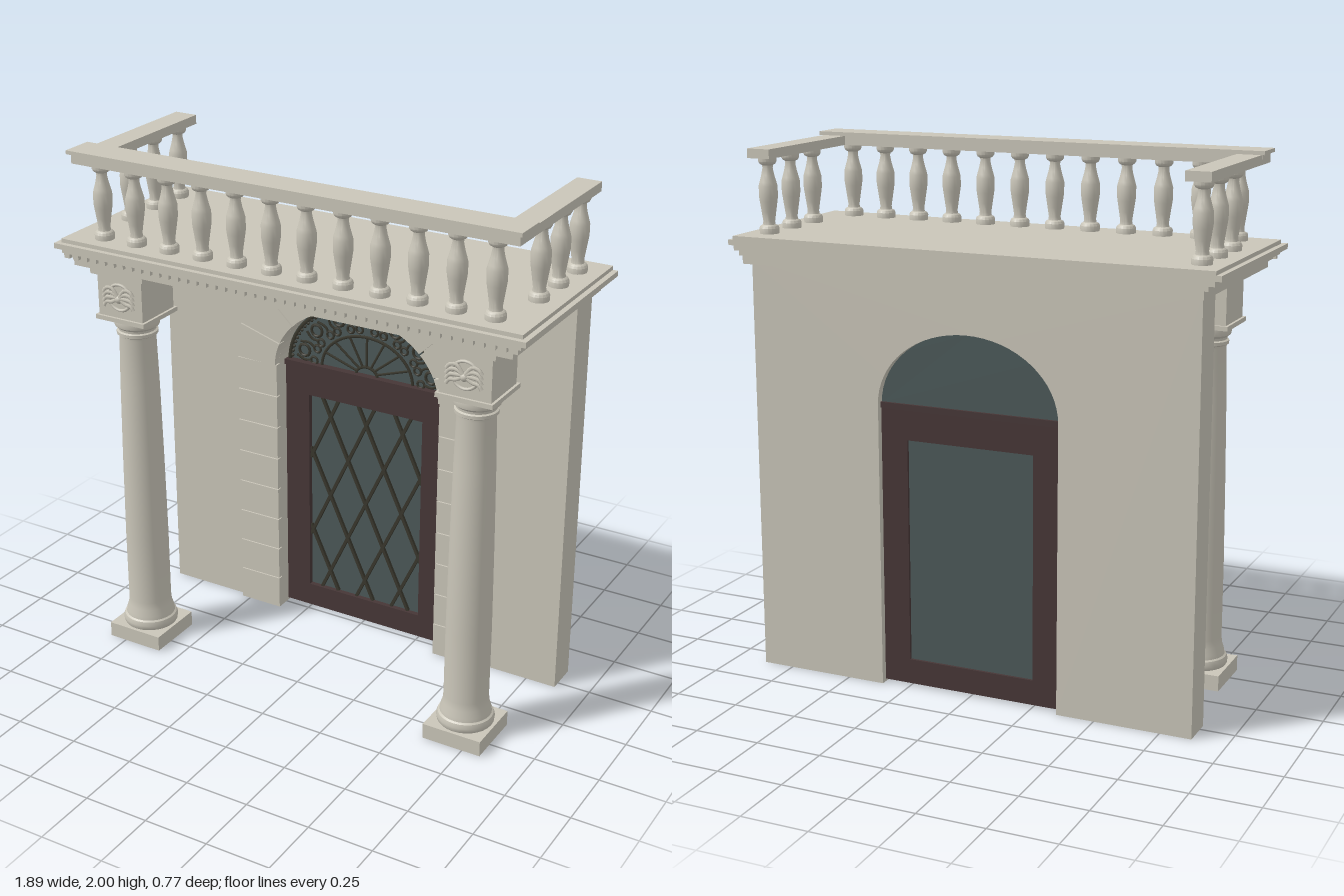
import * as THREE from 'three';
import { toCreasedNormals } from 'three/addons/utils/BufferGeometryUtils.js';

export function createModel() {
  const root = new THREE.Group();
  root.name = 'columnedPorch';
  const mat = (name, color) => {
    const m = new THREE.MeshStandardMaterial({ color });
    m.name = name;
    return m;
  };
  const stone = mat('paleStone', 0xc9c5b8);
  const wood = mat('darkWood', 0x463636);
  const glass = mat('smokyGlass', 0x4b5858);
  const iron = mat('darkIron', 0x39372d);

  const add = (name, geo, m, x = 0, y = 0, z = 0, parent = root) => {
    const mesh = new THREE.Mesh(geo, m);
    mesh.name = name;
    mesh.position.set(x, y, z);
    parent.add(mesh);
    return mesh;
  };
  // Box given by its limits on each axis
  const box = (name, m, x0, x1, y0, y1, z0, z1, parent = root) =>
    add(name, new THREE.BoxGeometry(x1 - x0, y1 - y0, z1 - z0), m,
      (x0 + x1) / 2, (y0 + y1) / 2, (z0 + z1) / 2, parent);
  const lathe = (pts, sides) => toCreasedNormals(
    new THREE.LatheGeometry(pts.map(p => new THREE.Vector2(...p)), sides), 0.6);
  const plate = (name, m, shape, z0, z1) => add(name, new THREE.ExtrudeGeometry(shape,
    { depth: z1 - z0, bevelEnabled: false, curveSegments: 32 }), m, 0, 0, z0);
  const tube = (name, pts, r, m, x, y, z, parent, seg = 16) => add(name, new THREE.TubeGeometry(
    new THREE.CatmullRomCurve3(pts.map(p => new THREE.Vector3(p[0], p[1], 0))), seg, r, 5), m, x, y, z, parent);

  // Elliptical arch over the doorway
  const RX = 0.355, RY = 0.285, SPRING = 1.085;
  const arch = (deg, s = 1) => {
    const t = THREE.MathUtils.degToRad(deg);
    return [RX * s * Math.cos(t), SPRING + RY * s * Math.sin(t)];
  };
  const arc = (s, from = 0, to = 180, n = 32) =>
    Array.from({ length: n + 1 }, (_, i) => arch(from + (to - from) * i / n, s));
  const poly = pts => new THREE.Shape(pts.map(p => new THREE.Vector2(...p)));

  // Wall with the arched doorway cut out
  plate('wall', stone, poly([[-0.87, 0], [-RX, 0], ...arc(1).reverse(), [RX, 0],
    [0.87, 0], [0.87, 1.58], [-0.87, 1.58]]), -0.345, -0.217);

  // Jamb blocks
  const blockH = SPRING / 8;
  for (const s of [-1, 1]) for (let i = 0; i < 8; i++) {
    const a = s * RX, b = s * 0.535;
    box('jambBlock', stone, Math.min(a, b), Math.max(a, b),
      i * blockH + (i ? 0.002 : 0), (i + 1) * blockH - 0.002, -0.22, -0.195);
  }

  // Arch stones, with a projecting keystone
  const angles = [0, 20, 39.5, 59.5, 79.5];
  const outer = [[0.535, 1.09], [0.508, 1.235], [0.39, 1.378], [0.258, 1.462], [0.092, 1.51]];
  for (const s of [-1, 1]) for (let i = 0; i < 4; i++) {
    const a = new THREE.Vector2(...outer[i]), b = new THREE.Vector2(...outer[i + 1]);
    const o1 = a.clone().lerp(b, 0.015), o2 = a.clone().lerp(b, 0.985);
    const pts = [...arc(1, angles[i] + 0.5, angles[i + 1] - 0.5, 5), [o2.x, o2.y], [o1.x, o1.y]];
    plate('archStone', stone, poly(pts.map(p => [s * p[0], p[1]])), -0.22, -0.183);
  }
  plate('keystone', stone, poly([...arc(1, 80, 100, 5), [-0.09, 1.51], [0.09, 1.51]]), -0.22, -0.168);

  // Door frame, glass and fanlight
  const frame = poly([[-RX, 0.01], [RX, 0.01], [RX, 1.068], [-RX, 1.068]]);
  frame.holes.push(new THREE.Path([[-0.25, 0.105], [-0.25, 0.955], [0.25, 0.955], [0.25, 0.105]]
    .map(p => new THREE.Vector2(...p))));
  plate('doorFrame', wood, frame, -0.32, -0.265);
  box('transom', wood, -RX, RX, 1.068, 1.09, -0.325, -0.255);
  box('doorGlass', glass, -0.25, 0.25, 0.105, 0.955, -0.31, -0.285);
  plate('fanlightGlass', glass, poly(arc(1)), -0.315, -0.285);

  // Diamond lattice, each bar clipped to the pane
  const lattice = new THREE.Group();
  lattice.name = 'lattice';
  root.add(lattice);
  const slope = 2.15;
  for (const d of [-1, 1]) for (let k = -7; k <= 7; k++) {
    const x0 = k * 0.16;
    const xAt = y => x0 + d * (y - 0.875) / slope;
    const yAt = x => 0.875 + d * (x - x0) * slope;
    const ends = [-0.25, 0.25].map(yAt).sort((a, b) => a - b);
    const ya = Math.max(0.105, ends[0]), yb = Math.min(0.955, ends[1]);
    if (yb - ya < 0.02) continue;
    const len = Math.hypot(xAt(yb) - xAt(ya), yb - ya);
    const bar = add('latticeBar', new THREE.BoxGeometry(0.012, len, 0.012), iron,
      (xAt(ya) + xAt(yb)) / 2, (ya + yb) / 2, -0.279, lattice);
    bar.rotation.z = -d * Math.atan(1 / slope);
  }

  // Fanlight ironwork: rim with beads, sunburst and scrolls
  const fan = new THREE.Group();
  fan.name = 'fanlightIronwork';
  fan.position.z = -0.278;
  root.add(fan);
  tube('fanRim', arc(0.965), 0.008, iron, 0, 0, 0, fan, 48);
  tube('fanInnerArch', arc(0.56), 0.006, iron, 0, 0, 0, fan, 32);
  tube('fanHub', arc(0.13, 0, 180, 10), 0.006, iron, 0, 0, 0, fan);
  for (let a = 4; a < 180; a += 4.3) add('rimBead', new THREE.SphereGeometry(0.007, 6, 4), iron, ...arch(a, 0.935), 0, fan);
  for (let i = 1; i < 8; i++) tube('fanRay', [arch(i * 22.5, 0.13), arch(i * 22.5, 0.56)], 0.005, iron, 0, 0, 0, fan, 2);
  for (let i = 0; i < 7; i++) {
    const a = 13 + i * 25.67;
    add('scrollRing', new THREE.TorusGeometry(0.024, 0.006, 5, 14), iron, ...arch(a, 0.8), 0, fan);
    for (const s of [-1, 1]) {
      add('scrollCurl', new THREE.TorusGeometry(0.015, 0.005, 5, 12), iron, ...arch(a + s * 8, 0.66), 0, fan);
      tube('scrollStem', [arch(a + s * 8, 0.7), arch(a + s * 10, 0.78), arch(a + s * 7, 0.88)], 0.005, iron, 0, 0, 0, fan, 6);
    }
  }

  // Columns with plinth, capital and carved rosette
  const columnGeo = lathe([[0.1, 0.055], [0.106, 0.065], [0.108, 0.08], [0.103, 0.095], [0.096, 0.1],
    [0.094, 0.115], [0.086, 0.14], [0.083, 0.17], [0.083, 0.45], [0.079, 0.8], [0.074, 1.1], [0.069, 1.285],
    [0.07, 1.295], [0.078, 1.3], [0.078, 1.312], [0.071, 1.316], [0.072, 1.325], [0.084, 1.335],
    [0.087, 1.35], [0.084, 1.365], [0.075, 1.372]], 28);
  for (const s of [-1, 1]) {
    const col = new THREE.Group();
    col.name = s > 0 ? 'leftColumn' : 'rightColumn';
    col.position.set(s * 0.705, 0, 0.22);
    root.add(col);
    box('plinth', stone, -0.116, 0.116, 0, 0.06, -0.116, 0.116, col);
    add('shaft', columnGeo, stone, 0, 0, 0, col);
    box('abacus', stone, -0.108, 0.108, 1.368, 1.385, -0.108, 0.108, col);
    box('capitalBlock', stone, -0.098, 0.098, 1.385, 1.547, -0.098, 0.098, col);
    box('capitalTop', stone, -0.116, 0.116, 1.547, 1.575, -0.116, 0.116, col);
    const rosette = new THREE.Group();
    rosette.name = 'rosette';
    rosette.position.set(0, 1.467, 0.1);
    col.add(rosette);
    add('rosetteRing', new THREE.TorusGeometry(0.05, 0.006, 6, 24), stone, 0, 0, 0, rosette);
    add('rosetteBoss', new THREE.SphereGeometry(0.016, 10, 8), stone, 0, -0.005, 0.004, rosette);
    for (const d of [-1, 1]) for (let i = 0; i < 4; i++) {
      const y = 0.024 - i * 0.018;
      tube('rosetteLeaf', [[0, 0], [d * 0.03, y + 0.012], [d * 0.055, y + 0.008], [d * 0.066, y - 0.008]],
        0.007, stone, 0, 0, 0.008, rosette, 8);
    }
  }

  // Entablature: stacked slabs and a row of dentils along the front
  box('architrave', stone, -0.885, 0.885, 1.57, 1.6, -0.385, 0.345);
  box('dentilBand', stone, -0.9, 0.9, 1.6, 1.617, -0.385, 0.352);
  box('corniceLower', stone, -0.922, 0.922, 1.617, 1.635, -0.385, 0.367);
  box('corniceEdge', stone, -0.945, 0.945, 1.635, 1.655, -0.385, 0.382);
  box('balconyFloor', stone, -0.925, 0.925, 1.655, 1.67, -0.385, 0.362);
  for (let i = 0; i < 46; i++) {
    const x = -0.9 + i * 0.04;
    box('dentil', stone, x - 0.012, x + 0.012, 1.6, 1.617, 0.35, 0.367);
  }

  // Balustrade
  const balusterGeo = lathe([[0.036, 1.668], [0.037, 1.69], [0.033, 1.698], [0.024, 1.703], [0.022, 1.715],
    [0.027, 1.75], [0.033, 1.79], [0.035, 1.805], [0.035, 1.845], [0.031, 1.86], [0.024, 1.885],
    [0.019, 1.91], [0.02, 1.921], [0.029, 1.926], [0.034, 1.935], [0.034, 1.952]], 16);
  for (let i = 0; i < 12; i++) add('frontBaluster', balusterGeo, stone, -0.788 + i * 0.1433, 0, 0.28);
  for (const s of [-1, 1]) {
    for (const z of [0.05, -0.11, -0.27]) add('sideBaluster', balusterGeo, stone, s * 0.838, 0, z);
    box('sideRail', stone, s * 0.838 - 0.046, s * 0.838 + 0.046, 1.95, 1.985, -0.333, 0.225);
  }
  box('frontRail', stone, -0.885, 0.885, 1.95, 1.986, 0.225, 0.327);
  box('frontRailCap', stone, -0.897, 0.897, 1.986, 2, 0.213, 0.34);

  return root;
}
